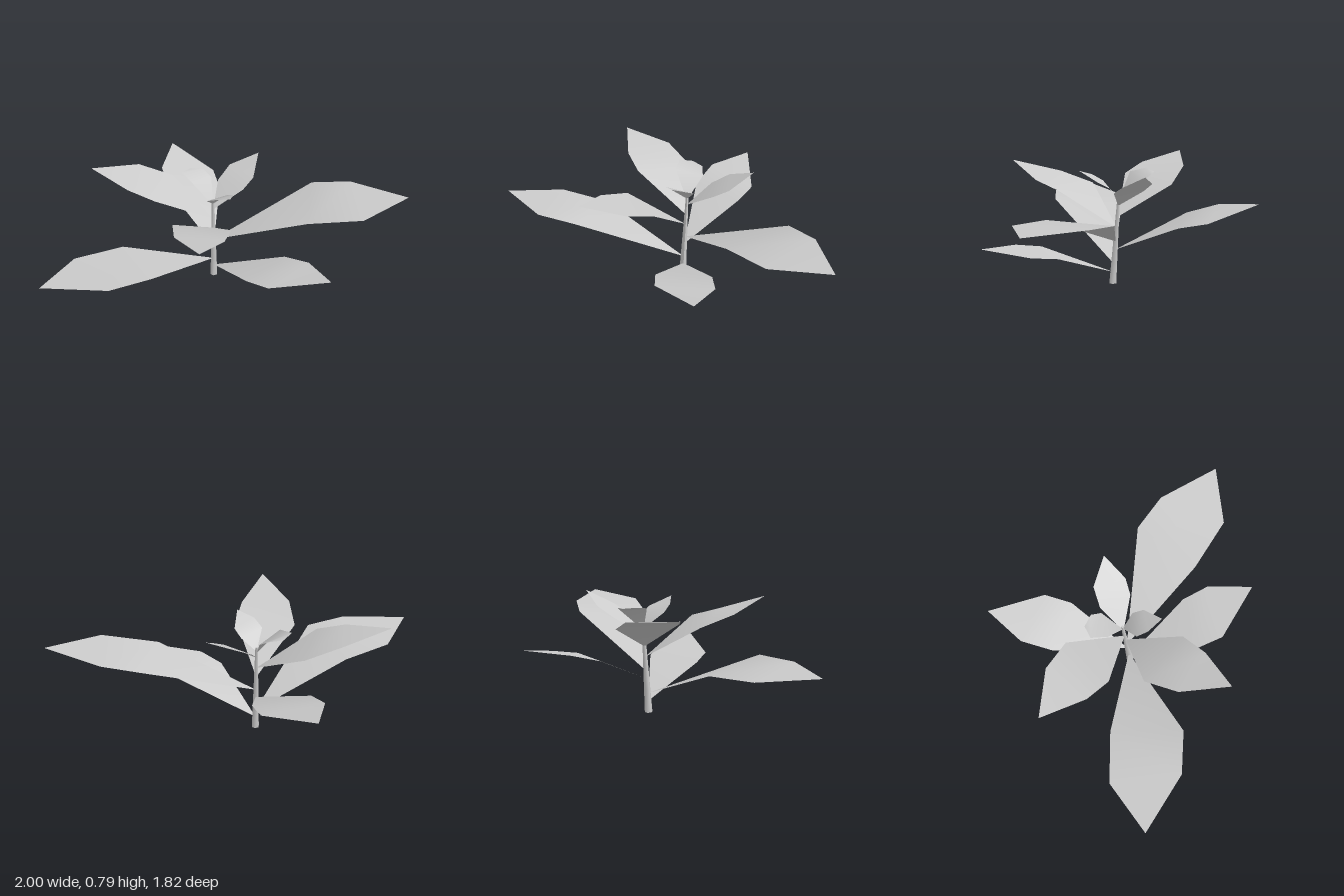
import * as THREE from 'three';

const material = new THREE.MeshStandardMaterial({ color: 0xcccccc, side: THREE.DoubleSide });

const STEM_HEIGHT = 0.6;
const stemFoot = new THREE.Vector3(0.216, 0, -0.147);
const stemTop = new THREE.Vector3(0.24, STEM_HEIGHT, -0.172);

// Point on the leaning stem axis at height y
const onStem = (y) => stemFoot.clone().lerp(stemTop, y / STEM_HEIGHT);

// Leaf blade: starts at a point on the stem, widens through two cross-sections, ends in a tip
function makeLeaf(name, baseY, right1, right2, tip, left2, left1) {
  const outline = [onStem(baseY).toArray(), right1, right2, tip, left2, left1];
  const geometry = new THREE.BufferGeometry();
  geometry.setAttribute('position', new THREE.Float32BufferAttribute(outline.flat(), 3));
  geometry.setIndex([0, 1, 5, 1, 2, 4, 1, 4, 5, 2, 3, 4]);
  geometry.computeVertexNormals();
  const leaf = new THREE.Mesh(geometry, material);
  leaf.name = name;
  return leaf;
}

// Slim tapered stem, sheared so its rings stay level
function makeStem() {
  const geometry = new THREE.CylinderGeometry(0.009, 0.026, STEM_HEIGHT, 6, 4, false);
  geometry.translate(0, STEM_HEIGHT / 2, 0);
  const p = geometry.attributes.position;
  for (let i = 0; i < p.count; i++) {
    const c = onStem(p.getY(i));
    p.setXYZ(i, p.getX(i) + c.x, p.getY(i), p.getZ(i) + c.z);
  }
  geometry.computeVertexNormals();
  const stem = new THREE.Mesh(geometry, material);
  stem.name = 'stem';
  return stem;
}

// Leaves from the lowest up: name, height on stem, right edge, tip, left edge
const leaves = [
  ['lowFrontLeaf', 0.075, [0, 0.255, 0.27], [-0.015, 0.287, 0.45], [0.2, 0.353, 0.79], [0.36, 0.3, 0.53], [0.362, 0.268, 0.34]],
  ['lowRightLeaf', 0.13, [-0.3, 0.378, -0.53], [-0.61, 0.4, -0.683], [-1, 0.435, -0.62], [-0.77, 0.435, -0.25], [-0.52, 0.432, -0.11]],
  ['backLeftLeaf', 0.23, [0.615, 0.43, -0.38], [0.733, 0.467, -0.52], [0.755, 0.555, -0.91], [0.48, 0.515, -0.8], [0.35, 0.45, -0.635]],
  ['frontLeftLeaf', 0.285, [0.43, 0.547, 0.46], [0.62, 0.592, 0.775], [1, 0.623, 0.91], [0.975, 0.607, 0.475], [0.855, 0.575, 0.24]],
  ['frontRightLeaf', 0.38, [-0.16, 0.605, -0.212], [-0.34, 0.672, -0.06], [-0.48, 0.753, 0.24], [-0.18, 0.66, 0.215], [0, 0.615, 0.145]],
  ['backRightLeaf', 0.45, [0.29, 0.637, -0.55], [0.155, 0.725, -0.74], [-0.137, 0.775, -0.913], [-0.14, 0.718, -0.597], [-0.08, 0.665, -0.42]],
  ['smallLeftLeaf', 0.525, [0.4, 0.65, -0.035], [0.5, 0.7, -0.02], [0.667, 0.793, -0.09], [0.53, 0.715, -0.235], [0.41, 0.645, -0.25]],
  ['topBackLeaf', 0.56, [0.352, 0.692, -0.265], [0.355, 0.73, -0.335], [0.297, 0.738, -0.405], [0.205, 0.75, -0.405], [0.17, 0.73, -0.3]],
  ['topFrontLeaf', 0.57, [0.11, 0.675, -0.13], [0.092, 0.72, -0.057], [0.117, 0.757, 0.055], [0.25, 0.693, -0.013], [0.276, 0.655, -0.08]],
];

export function createModel() {
  const plant = new THREE.Group();
  plant.name = 'plant';
  plant.add(makeStem());
  for (const leaf of leaves) plant.add(makeLeaf(...leaf));
  return plant;
}
